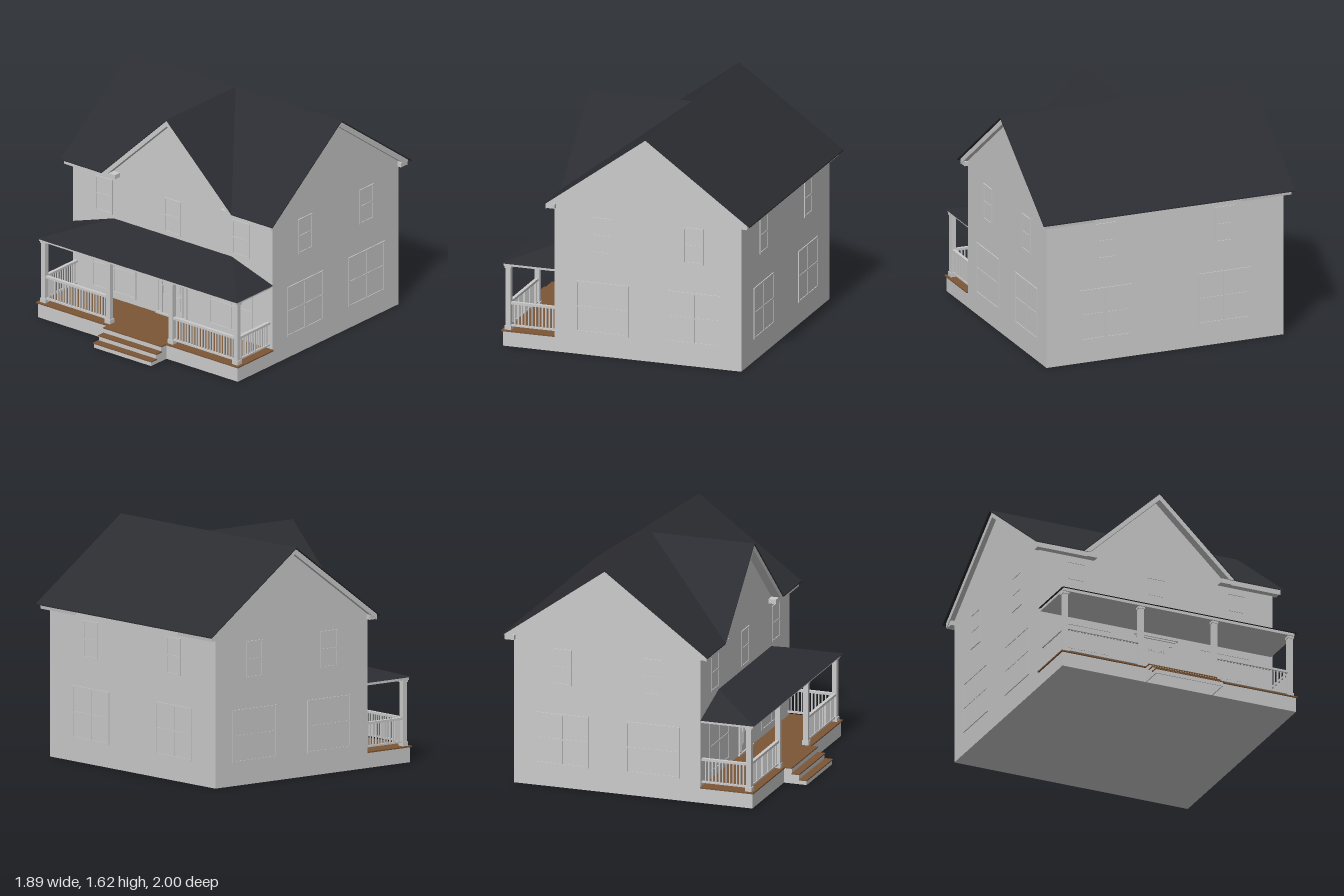
import * as THREE from 'three';
import { ConvexGeometry } from 'three/addons/geometries/ConvexGeometry.js';

const grey = new THREE.MeshStandardMaterial({ color: 0xcccccc, flatShading: true });
const dark = new THREE.MeshStandardMaterial({ color: 0x2c2d32, flatShading: true });
const wood = new THREE.MeshStandardMaterial({ color: 0x7d5636, flatShading: true });

function add(parent, name, geometry, material = grey) {
  const mesh = new THREE.Mesh(geometry, material);
  mesh.name = name;
  parent.add(mesh);
  return mesh;
}

// Box given by its extents on each axis
function box(parent, name, [x0, x1], [y0, y1], [z0, z1], material = grey) {
  const geo = new THREE.BoxGeometry(x1 - x0, y1 - y0, z1 - z0);
  geo.translate((x0 + x1) / 2, (y0 + y1) / 2, (z0 + z1) / 2);
  return add(parent, name, geo, material);
}

function extrude(points, depth) {
  const shape = new THREE.Shape(points.map(([a, b]) => new THREE.Vector2(a, b)));
  return new THREE.ExtrudeGeometry(shape, { depth, bevelEnabled: false });
}

// Profile in (x, y) swept along z, and profile in (z, y) swept along x
const sweepZ = (pts, z0, z1) => extrude(pts, z1 - z0).translate(0, 0, z0);
const sweepX = (pts, x0, x1) =>
  extrude(pts.map(([z, y]) => [-z, y]), x1 - x0).rotateY(Math.PI / 2).translate(x0, 0, 0);

// Thin roof sheet: the hull of a flat polygon and its copy slightly below
function roofSheet(parent, name, corners) {
  const pts = corners.flatMap(([x, y, z]) =>
    [new THREE.Vector3(x, y, z), new THREE.Vector3(x, y - 0.007, z)]);
  return add(parent, name, new ConvexGeometry(pts), dark);
}

// Sash window facing +z, with its centre at the origin
function makeWindow(w, h, columns) {
  const g = new THREE.Group();
  g.name = 'window';
  const t = 0.012, W = w / 2, H = h / 2;
  box(g, 'pane', [-W, W], [-H, H], [-0.002, 0.002]);
  for (const s of [-1, 1]) {
    box(g, 'frameSide', [s * (W - t / 2) - t / 2, s * (W - t / 2) + t / 2], [-H, H], [0, 0.007]);
    box(g, 'frameRail', [-W, W], [s * (H - t / 2) - t / 2, s * (H - t / 2) + t / 2], [0, 0.007]);
  }
  box(g, 'meetingRail', [-W, W], [-t / 2, t / 2], [0, 0.006]);
  for (let i = 1; i < columns; i++) {
    const x = -W + (w * i) / columns;
    box(g, 'mullion', [x - t / 2, x + t / 2], [-H, H], [0, 0.006]);
  }
  return g;
}

// Railing along +x from the origin
function makeRailing(length) {
  const g = new THREE.Group();
  g.name = 'railing';
  box(g, 'handrail', [0, length], [0.298, 0.315], [-0.012, 0.012]);
  box(g, 'bottomRail', [0, length], [0.138, 0.15], [-0.009, 0.009]);
  const n = Math.round(length / 0.025);
  for (let i = 1; i < n; i++) {
    const x = (length * i) / n;
    box(g, 'baluster', [x - 0.0045, x + 0.0045], [0.15, 0.298], [-0.0045, 0.0045]);
  }
  return g;
}

export function createModel() {
  const house = new THREE.Group();
  house.name = 'house';
  const front = 0.45, back = -0.92, ridgeZ = -0.235, W = 0.89;

  // Walls with side gables, and the cross gable wall
  add(house, 'walls', sweepX([[front, 0], [front, 1.095], [ridgeZ, 1.595], [back, 1.095], [back, 0]], -W, W));
  add(house, 'frontGableWall', sweepZ([[-0.57, 1.045], [0.57, 1.045], [0, 1.585]], ridgeZ, front));

  // Roof: rear slope, two front slopes cut along the valleys, two cross gable slopes
  const roof = new THREE.Group();
  roof.name = 'roof';
  house.add(roof);
  const R = 0.945, top = 1.62, eave = 1.07, eaveF = 0.52, valley = 0.58;
  roofSheet(roof, 'rearSlope', [[-R, top, ridgeZ], [R, top, ridgeZ], [R, eave, -1], [-R, eave, -1]]);
  for (const s of [-1, 1]) {
    roofSheet(roof, 'frontSlope',
      [[s * R, top, ridgeZ], [0, top, ridgeZ], [s * valley, eave, eaveF], [s * R, eave, eaveF]]);
    roofSheet(roof, 'crossGableSlope', [[0, top, ridgeZ], [0, top, eaveF], [s * valley, eave, eaveF]]);
    // Side rake boards and front eave returns
    const rake = [[0.505, 1.076], [ridgeZ, 1.615], [-0.98, 1.076], [-0.975, 1.035],
      [ridgeZ, 1.57], [0.505, 1.035]];
    add(roof, 'sideRake', sweepX(rake, s > 0 ? 0.55 : -0.925, s > 0 ? 0.925 : -0.55));
    const [a, b] = s > 0 ? [0.47, 0.92] : [-0.92, -0.47];
    box(roof, 'eaveReturn', [a, b], [1.04, 1.072], [front - 0.01, 0.505]);
  }
  box(roof, 'rearEave', [-0.92, 0.92], [1.038, 1.072], [-0.975, back + 0.01]);
  add(roof, 'frontRake', sweepZ([[-0.575, 1.07], [-0.53, 1.07], [0, 1.57], [0.53, 1.07],
    [0.575, 1.07], [0, 1.614]], front - 0.01, 0.515));

  // Windows on every wall: [x, z, turn, y, double]
  const lower = (x, z, turn) => placeWindow(x, z, turn, 0.345, 0.39, 0.37, 2);
  const upper = (x, z, turn) => placeWindow(x, z, turn, 0.87, 0.15, 0.26, 1);
  function placeWindow(x, z, turn, y, w, h, columns) {
    const win = makeWindow(w, h, columns);
    win.position.set(x, y, z);
    win.rotation.y = turn;
    house.add(win);
  }
  for (const s of [-1, 1]) {
    lower(s * 0.52, front, 0);
    lower(s * 0.445, back, Math.PI);
    upper(s * 0.445, back, Math.PI);
    for (const d of [-1, 1]) {
      lower(s * W, ridgeZ + d * 0.335, s * Math.PI / 2);
      upper(s * W, ridgeZ + d * 0.335, s * Math.PI / 2);
    }
  }
  for (const x of [-0.61, 0, 0.61]) upper(x, front, 0);

  // Front door with six panels, sidelights and a stepped header
  const door = new THREE.Group();
  door.name = 'frontDoor';
  door.position.z = front;
  house.add(door);
  box(door, 'doorLeaf', [-0.078, 0.085], [0.125, 0.5], [0, 0.004]);
  for (const x of [-0.068, 0.018]) {
    for (const [y0, y1] of [[0.44, 0.48], [0.31, 0.42], [0.18, 0.28]]) {
      box(door, 'panelSurround', [x, x + 0.054], [y0, y1], [0, 0.007]);
      box(door, 'panel', [x + 0.009, x + 0.045], [y0 + 0.009, y1 - 0.009], [0, 0.01]);
    }
  }
  for (const s of [-1, 1]) {
    const c = s * 0.109;
    box(door, 'sidelight', [c - 0.012, c + 0.012], [0.14, 0.49], [0, 0.004]);
    for (const d of [-0.016, 0.016]) {
      box(door, 'sidelightFrame', [c + d - 0.004, c + d + 0.004], [0.13, 0.5], [0, 0.01]);
    }
    for (const y of [0.134, 0.496]) {
      box(door, 'sidelightRail', [c - 0.02, c + 0.02], [y - 0.004, y + 0.004], [0, 0.01]);
    }
  }
  box(door, 'handle', [-0.086, -0.078], [0.28, 0.34], [0, 0.02]);
  box(door, 'threshold', [-0.14, 0.14], [0.115, 0.128], [0, 0.015]);
  box(door, 'headerFrieze', [-0.15, 0.15], [0.53, 0.542], [0, 0.01]);
  box(door, 'headerCornice', [-0.165, 0.165], [0.542, 0.553], [0, 0.018]);

  // Porch base, deck, ceiling beam and hipped roof
  const porch = new THREE.Group();
  porch.name = 'porch';
  house.add(porch);
  box(porch, 'porchBase', [-W, W], [0, 0.106], [front, 0.83]);
  box(porch, 'deck', [-0.9, 0.9], [0.106, 0.115], [front, 0.84], wood);
  box(porch, 'porchBeam', [-0.88, 0.88], [0.575, 0.596], [front, 0.83]);
  add(porch, 'porchRoof', new ConvexGeometry([-1, 1].flatMap((s) => [
    new THREE.Vector3(s * 0.895, 0.595, 0.845),
    new THREE.Vector3(s * 0.895, 0.595, front),
    new THREE.Vector3(s * 0.525, 0.715, front)])), dark);

  // Posts and railings
  const railZ = 0.797;
  for (const x of [-0.857, -0.28, 0.28, 0.857]) {
    const block = (name, r, y0, y1) => box(porch, name, [x - r, x + r], [y0, y1], [railZ - r, railZ + r]);
    block('post', 0.018, 0.115, 0.575);
    block('postBase', 0.024, 0.115, 0.145);
    block('postCap', 0.024, 0.56, 0.575);
  }
  for (const s of [-1, 1]) {
    const rail = makeRailing(0.541);
    rail.position.set(s > 0 ? 0.298 : -0.839, 0, railZ);
    porch.add(rail);
    const side = makeRailing(railZ - 0.018 - front);
    side.rotation.y = Math.PI / 2;
    side.position.set(s * 0.857, 0, railZ - 0.018);
    porch.add(side);
  }

  // Steps: wooden treads on grey risers and stringers, open below
  const steps = new THREE.Group();
  steps.name = 'steps';
  house.add(steps);
  [[0.115, 0.89], [0.075, 0.945], [0.037, 1]].forEach(([y, z], i) => {
    const z0 = i ? z - 0.058 : 0.83;
    box(steps, 'tread', [-0.26, 0.26], [y - 0.008, y], [z0, z], wood);
    box(steps, 'riser', [-0.255, 0.255], [i < 2 ? y - 0.04 : 0, y - 0.008], [z - 0.008, z - 0.003]);
    for (const s of [-0.252, 0.252]) {
      box(steps, 'stringer', [s - 0.003, s + 0.003], [0, y - 0.008], [z0, z - 0.003]);
    }
  });
  return house;
}
